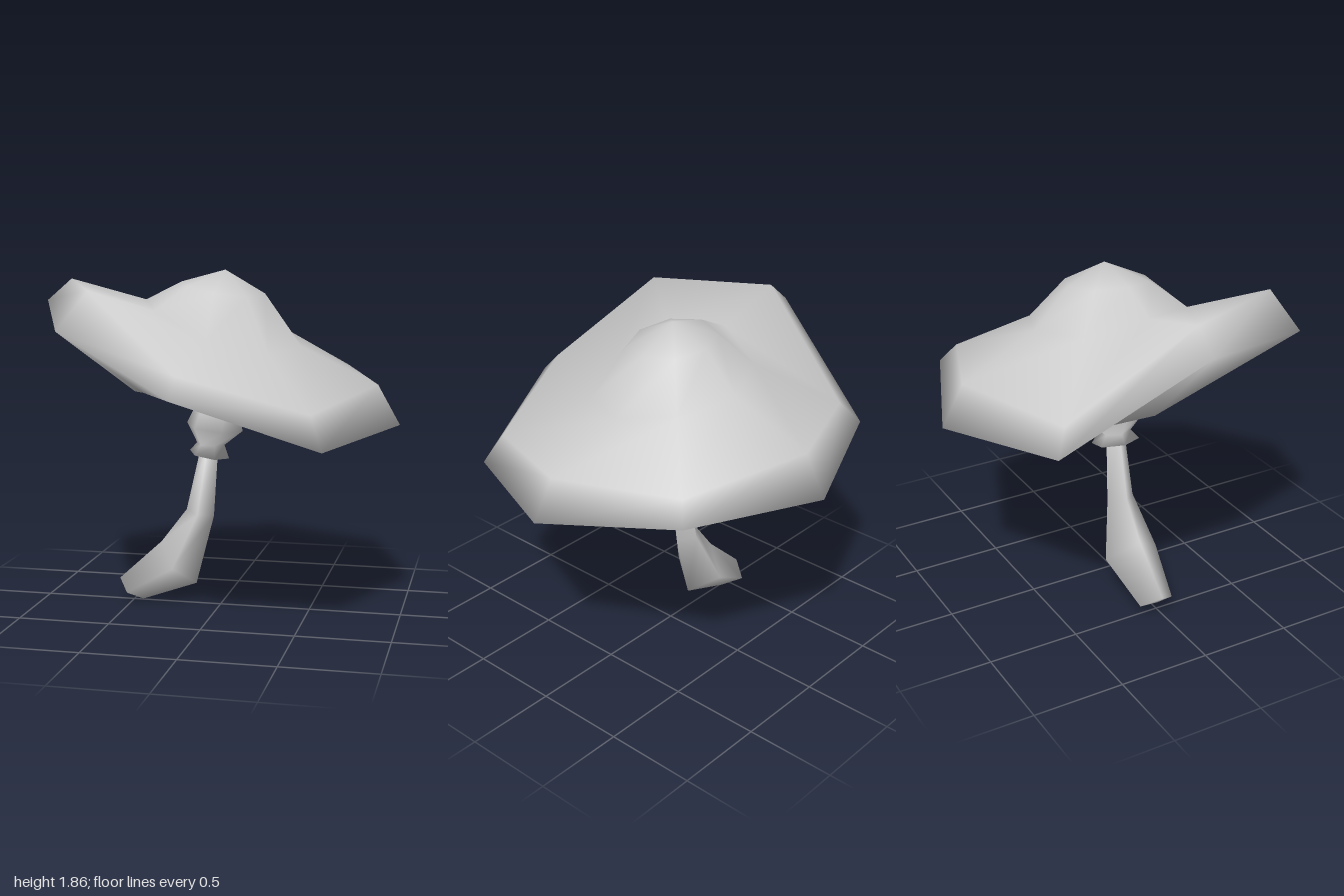
import * as THREE from 'three';

// Smooth normals in which every face counts by its corner angle, not by its area.
function smoothByAngle(geometry) {
  const pos = geometry.attributes.position, index = geometry.index.array;
  const sums = Array.from({ length: pos.count }, () => new THREE.Vector3());
  for (let i = 0; i < index.length; i += 3) {
    const ids = [index[i], index[i + 1], index[i + 2]];
    const p = ids.map((id) => new THREE.Vector3().fromBufferAttribute(pos, id));
    const normal = new THREE.Triangle(...p).getNormal(new THREE.Vector3());
    ids.forEach((id, j) => {
      const u = p[(j + 1) % 3].clone().sub(p[j]), v = p[(j + 2) % 3].clone().sub(p[j]);
      sums[id].addScaledVector(normal, u.angleTo(v));
    });
  }
  const normals = sums.flatMap((n) => n.normalize().toArray());
  geometry.setAttribute('normal', new THREE.Float32BufferAttribute(normals, 3));
}

// Smooth skin over rings listed from top to bottom, closed by a single point at each end.
function loft(name, top, rings, bottom, material) {
  const sides = rings[0].length;
  const points = [top, ...rings.flat(), bottom];
  const index = [];
  const at = (r, k) => 1 + r * sides + (k % sides);
  for (let k = 0; k < sides; k++) {
    index.push(0, at(0, k + 1), at(0, k));
    for (let r = 0; r < rings.length - 1; r++) {
      const a = at(r, k), b = at(r + 1, k), c = at(r + 1, k + 1), d = at(r, k + 1);
      index.push(a, d, c, a, c, b);
    }
    index.push(at(rings.length - 1, k), at(rings.length - 1, k + 1), points.length - 1);
  }
  const geometry = new THREE.BufferGeometry();
  geometry.setAttribute('position', new THREE.Float32BufferAttribute(points.flat(), 3));
  geometry.setIndex(index);
  smoothByAngle(geometry);
  const mesh = new THREE.Mesh(geometry, material);
  mesh.name = name;
  return mesh;
}

// Ring of given radius whose height varies around it, starting at +x towards +z.
function wavyRing(radius, heights, cx, cz) {
  return heights.map((y, k) => {
    const t = (k / heights.length) * Math.PI * 2;
    return [cx + radius * Math.cos(t), y, cz + radius * Math.sin(t)];
  });
}

// Tilted oval ring spanning from a left to a right point in the xy plane, with a radius in z.
function tiltedRing(sides, [lx, ly, rx, ry, depth]) {
  return Array.from({ length: sides }, (_, k) => {
    const t = (k / sides) * Math.PI * 2;
    const u = (1 + Math.cos(t)) / 2;
    return [lx + (rx - lx) * u, ly + (ry - ly) * u, -0.01 + depth * Math.sin(t)];
  });
}

export function createModel() {
  const grey = new THREE.MeshStandardMaterial({ color: 0xcccccc, side: THREE.DoubleSide });
  grey.name = 'pale grey';
  const mushroom = new THREE.Group();
  mushroom.name = 'mushroom';

  // Wavy cap: dome, valley, shoulder, sharp rim, underside
  const shoulder = [
    [0.86, 1.26, 0.03], [0.6, 1.18, 0.68], [-0.03, 1.38, 0.89], [-0.55, 1.77, 0.62],
    [-0.84, 1.8, 0], [-0.66, 1.34, -0.63], [-0.03, 1.37, -0.88], [0.62, 1.29, -0.63],
  ];
  const rim = [
    [0.98, 1.05, 0.04], [0.67, 1.01, 0.77], [-0.03, 1.27, 1], [-0.69, 1.57, 0.72],
    [-0.98, 1.68, 0], [-0.75, 1.22, -0.71], [-0.03, 1.15, -1], [0.7, 1.18, -0.7],
  ];
  mushroom.add(loft('cap', [0.02, 1.855, -0.03], [
    wavyRing(0.23, [1.73, 1.72, 1.74, 1.77, 1.79, 1.78, 1.76, 1.74], 0.01, -0.02),
    wavyRing(0.43, [1.45, 1.43, 1.5, 1.65, 1.69, 1.6, 1.56, 1.51], 0.01, -0.02),
    shoulder,
    rim,
    wavyRing(0.48, [1.09, 1.09, 1.16, 1.22, 1.18, 1.11, 1.07, 1.08], -0.01, -0.02),
  ], [-0.02, 1.13, 0], grey));

  // Bulb under the cap with a small flared skirt
  mushroom.add(loft('collar', [-0.01, 1.145, -0.01], [
    [-0.12, 1.16, 0.1, 1.13, 0.15],
    [-0.19, 1.02, 0.12, 0.98, 0.185],
    [-0.135, 0.91, 0.02, 0.9, 0.09],
    [-0.175, 0.865, 0.045, 0.825, 0.135],
    [-0.12, 0.89, 0, 0.88, 0.07],
  ].map((ring) => tiltedRing(6, ring)), [-0.06, 0.89, -0.01], grey));

  // Bent four-sided stem thickening towards a blunt foot
  mushroom.add(loft('stem', [-0.06, 0.91, -0.01], [
    [-0.11, 0.9, -0.015, 0.9, 0.055],
    [-0.195, 0.53, -0.04, 0.5, 0.08],
    [-0.34, 0.34, -0.14, 0.11, 0.16],
    [-0.585, 0.115, -0.45, 0, 0.1],
  ].map((ring) => tiltedRing(4, ring)), [-0.525, 0.055, -0.01], grey));

  return mushroom;
}
